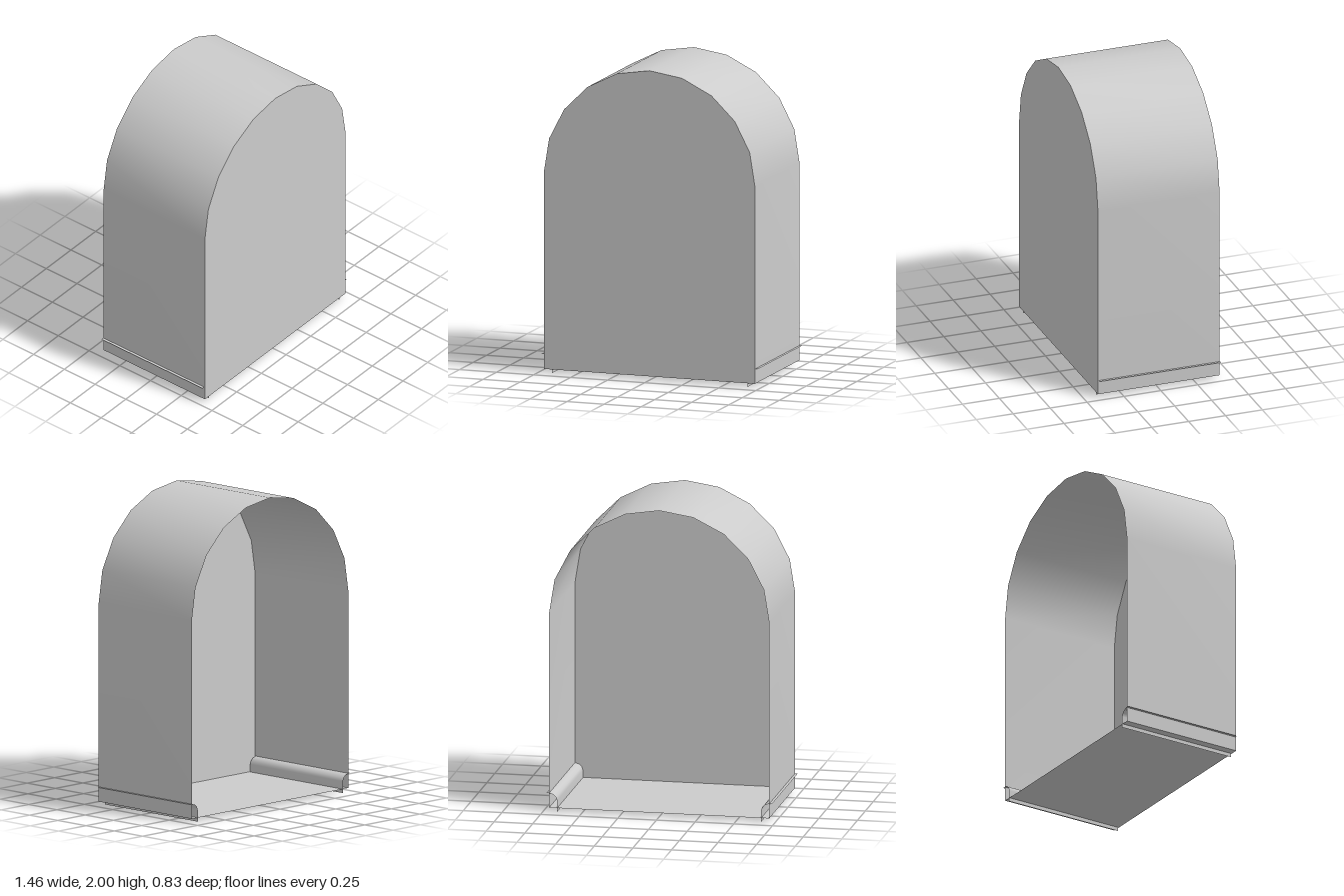
import * as THREE from 'three';

const HALF_W = 0.712, HALF_D = 0.412, BASE = 0.025, SPRING = 1.3, RISE = 0.7, ARCH_STEPS = 10;

// Sweep an open [x, y] profile along z as a thin smooth sheet
function sheet(profile, z0, z1) {
  const positions = [], indices = [];
  profile.forEach(([x, y], i) => {
    positions.push(x, y, z0, x, y, z1);
    if (i > 0) {
      const a = 2 * (i - 1);
      indices.push(a, a + 1, a + 2, a + 1, a + 3, a + 2);
    }
  });
  const geometry = new THREE.BufferGeometry();
  geometry.setAttribute('position', new THREE.Float32BufferAttribute(positions, 3));
  geometry.setIndex(indices);
  geometry.computeVertexNormals();
  return geometry;
}

export function createModel() {
  const group = new THREE.Group();
  const grey = new THREE.MeshStandardMaterial({ color: 0xcccccc, side: THREE.DoubleSide });
  grey.name = 'light grey';

  const add = (name, geometry) => {
    const mesh = new THREE.Mesh(geometry, grey);
    mesh.name = name;
    group.add(mesh);
    return mesh;
  };

  // Arched outline, from the right foot over the top to the left foot
  const outline = [[HALF_W, BASE]];
  for (let i = 0; i <= ARCH_STEPS; i++) {
    const a = (i / ARCH_STEPS) * Math.PI;
    outline.push([HALF_W * Math.cos(a), SPRING + RISE * Math.sin(a)]);
  }
  outline.push([-HALF_W, BASE]);

  // Side walls and vaulted roof in one sheet, open at the back
  add('archedWall', sheet(outline, HALF_D, -HALF_D));

  // Closed front
  const shape = new THREE.Shape(outline.map(([x, y]) => new THREE.Vector2(x, y)));
  add('frontPanel', new THREE.ShapeGeometry(shape)).position.z = HALF_D;

  // Floor
  const floor = add('floor', new THREE.PlaneGeometry(2 * HALF_W, 2 * HALF_D).rotateX(-Math.PI / 2));
  floor.position.y = BASE;

  // Bent rails along both lower edges, with a narrow lip outside the wall
  const rail = [[0.73, 0.12], [0.71, 0.12], [0.685, 0.113], [0.667, 0.096], [0.66, 0.075], [0.66, 0]];
  for (const [name, s] of [['leftRail', 1], ['rightRail', -1]]) {
    const profile = rail.map(([x, y]) => [s * x, y]);
    if (s < 0) profile.reverse();
    add(name, sheet(profile, 0.405, -0.415));
  }

  return group;
}
